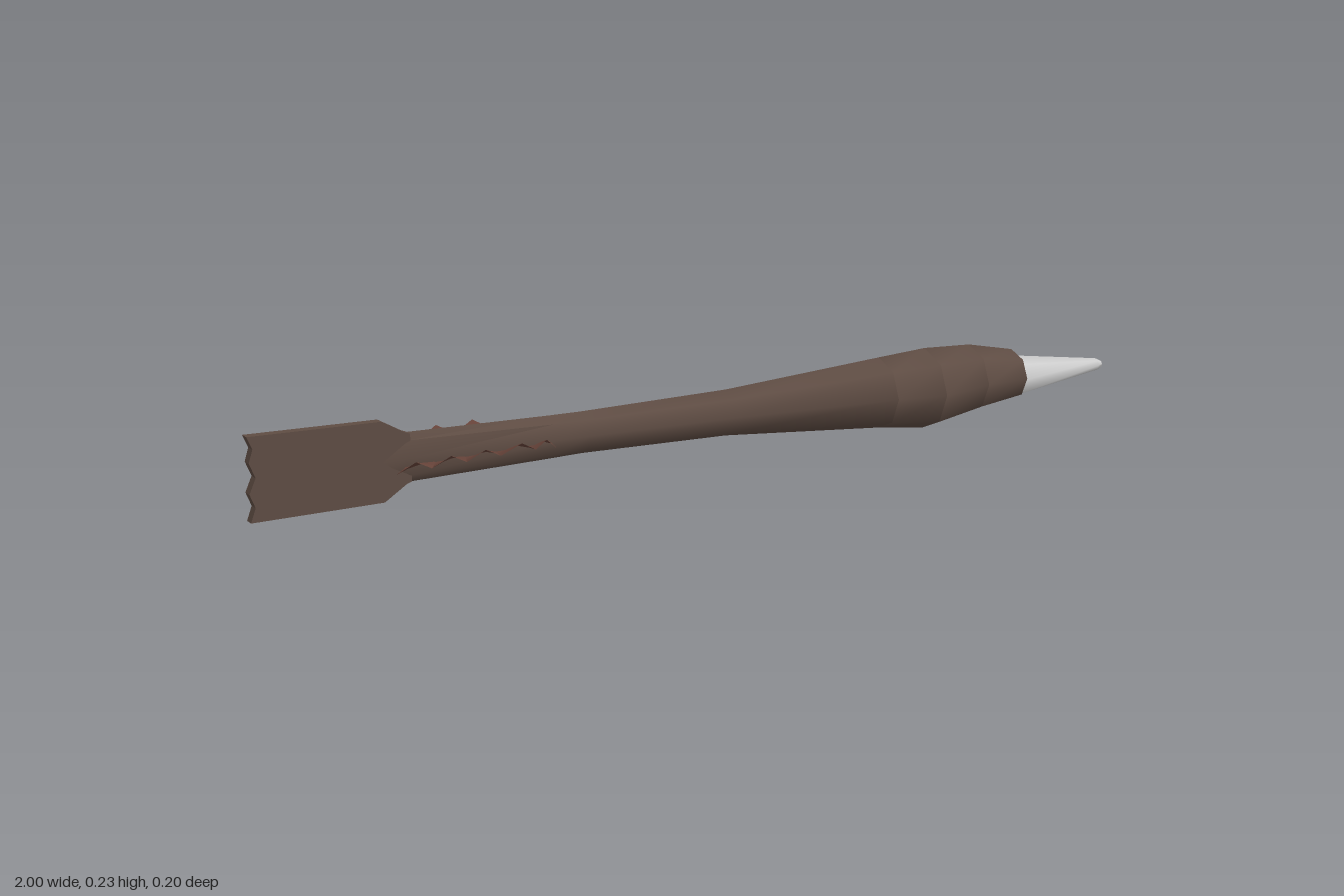
import * as THREE from 'three';
import { toCreasedNormals } from 'three/addons/utils/BufferGeometryUtils.js';

const SIDES = 8;

function material(color, side = THREE.FrontSide) {
  return new THREE.MeshStandardMaterial({ color, side });
}

function part(name, geometry, mat) {
  const mesh = new THREE.Mesh(geometry, mat);
  mesh.name = name;
  return mesh;
}

function build(positions, index) {
  const g = new THREE.BufferGeometry();
  g.setAttribute('position', new THREE.Float32BufferAttribute(positions, 3));
  g.setIndex(index);
  g.computeVertexNormals();
  return g;
}

// Capped eight-sided loft along x; each station is [x, centre y, radius y, radius z]
function loft(stations) {
  const pos = [], idx = [];
  for (const [x, cy, ry, rz] of stations) {
    for (let k = 0; k < SIDES; k++) {
      const a = (k / SIDES) * Math.PI * 2;
      pos.push(x, cy + ry * Math.cos(a), rz * Math.sin(a));
    }
  }
  const last = stations.length - 1;
  const c0 = pos.length / 3, c1 = c0 + 1;
  pos.push(stations[0][0], stations[0][1], 0, stations[last][0], stations[last][1], 0);
  for (let k = 0; k < SIDES; k++) {
    const n = (k + 1) % SIDES;
    for (let s = 0; s < last; s++) {
      const a = s * SIDES + k, b = s * SIDES + n;
      idx.push(a, b, a + SIDES, b, b + SIDES, a + SIDES);
    }
    idx.push(c0, n, k, c1, last * SIDES + k, last * SIDES + n);
  }
  return toCreasedNormals(build(pos, idx), 0.9);
}

// Thin rippled side fin with a scalloped outer edge; side is +1 or -1 in z
function finGeometry(side) {
  const edge = [
    [-0.76, 0.094], [-0.725, 0.101], [-0.69, 0.092], [-0.655, 0.099], [-0.62, 0.091],
    [-0.585, 0.098], [-0.55, 0.089], [-0.51, 0.096], [-0.475, 0.084], [-0.44, 0.063], [-0.40, 0.026],
  ];
  const pos = [], idx = [];
  edge.forEach(([x, z], i) => {
    const rootX = -0.70 + 0.30 * (i / (edge.length - 1));
    const ripple = i % 2 ? 0 : -0.016;
    for (const t of [0, 0.55, 1]) {
      const zz = 0.008 + (z - 0.008) * t;
      pos.push(rootX + (x - rootX) * t, 0.118 + 0.39 * zz + ripple * t, side * zz);
    }
  });
  for (let i = 0; i < edge.length - 1; i++) {
    for (let j = 0; j < 2; j++) {
      const a = i * 3 + j, b = a + 3;
      if (side > 0) idx.push(a, a + 1, b, a + 1, b + 1, b);
      else idx.push(a, b, a + 1, a + 1, b, b + 1);
    }
  }
  return toCreasedNormals(build(pos, idx), 0.4);
}

export function createModel() {
  const model = new THREE.Group();
  model.name = 'dart';
  const brown = material(0x5e4c43);
  const finBrown = material(0x68443a, THREE.DoubleSide);

  // Shaft and the banded sections of the swollen head
  const shaft = [
    [-0.76, 0.137, 0.040, 0.008],
    [-0.70, 0.137, 0.047, 0.012],
    [-0.40, 0.126, 0.042, 0.030],
    [-0.33, 0.124, 0.041, 0.033],
    [0.00, 0.111, 0.047, 0.045],
    [0.38, 0.094, 0.075, 0.069],
  ];
  const bands = [
    shaft[5],
    [0.50, 0.086, 0.086, 0.078],
    [0.62, 0.090, 0.073, 0.070],
    [0.74, 0.082, 0.054, 0.054],
  ];
  model.add(part('shaft', loft(shaft), brown));
  for (let i = 0; i < 3; i++) {
    model.add(part(`headBand${i + 1}`, loft([bands[i], bands[i + 1]]), brown));
  }

  // Pale pointed tip with a small blunt end
  model.add(part('tip', loft([
    [0.735, 0.076, 0.047, 0.045],
    [0.985, 0.067, 0.014, 0.013],
    [1.0, 0.066, 0.008, 0.008],
  ]), material(0xcccccc)));

  // Upright tail plate with a wavy rear edge
  const outline = [
    [-0.69, 0.092], [-0.70, 0.089], [-0.745, 0.062], [-1.0, 0.07], [-0.99, 0.096],
    [-1.0, 0.122], [-0.987, 0.15], [-0.998, 0.178], [-0.99, 0.202], [-1.0, 0.226],
    [-0.745, 0.213], [-0.70, 0.186], [-0.69, 0.182],
  ].map(([x, y]) => new THREE.Vector2(x, y));
  const plate = new THREE.ExtrudeGeometry(new THREE.Shape(outline), { depth: 0.018, bevelEnabled: false });
  plate.translate(0, 0, -0.009);
  model.add(part('tailPlate', plate, brown));

  // Mirrored side fins
  model.add(part('leftFin', finGeometry(1), finBrown));
  model.add(part('rightFin', finGeometry(-1), finBrown));

  return model;
}
